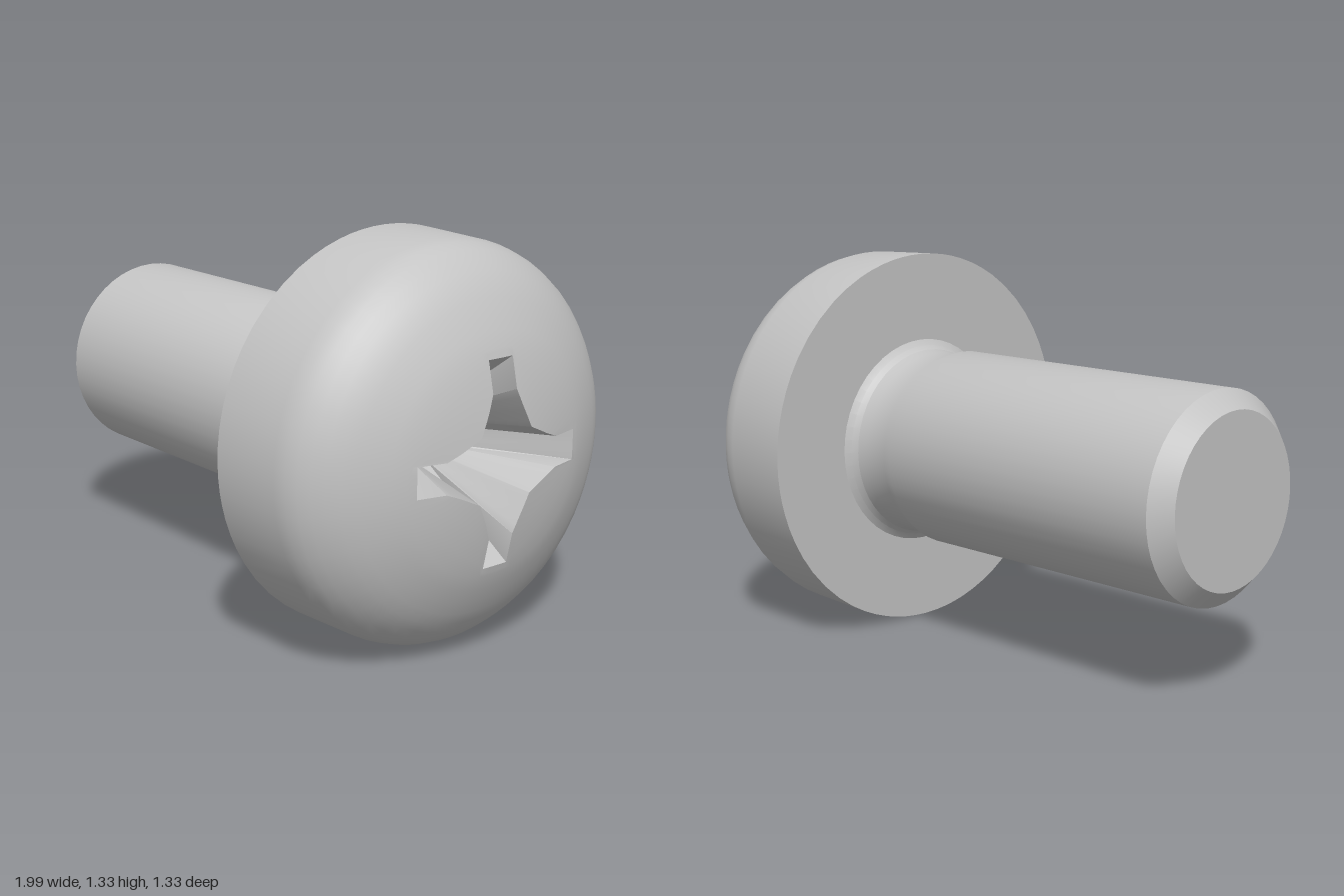
import * as THREE from 'three';
import { toCreasedNormals } from 'three/addons/utils/BufferGeometryUtils.js';

const steel = new THREE.MeshStandardMaterial({ color: 0xc4c4c4 });
steel.name = 'steel';

// Subdivide one eighth of an outline, mirror it to a quarter, then repeat it four times.
// Returns [y, z] points running counter-clockwise as seen from the head end.
function fourWayOutline(eighth) {
  const steps = [2, 1, 2, 4];
  const half = [];
  for (let i = 0; i < steps.length; i++) {
    const [a, b] = [eighth[i], eighth[i + 1]];
    for (let s = 0; s < steps[i]; s++) {
      const t = s / steps[i];
      half.push([a[0] + (b[0] - a[0]) * t, a[1] + (b[1] - a[1]) * t]);
    }
  }
  const mirrored = half.slice(1).reverse().map(([y, z]) => [z, y]);
  const quarter = [...half, eighth[4], ...mirrored];
  const loop = [];
  for (let q = 0; q < 4; q++) {
    const c = Math.round(Math.cos(q * Math.PI / 2)), s = Math.round(Math.sin(q * Math.PI / 2));
    quarter.forEach(([y, z]) => loop.push([y * c - z * s, y * s + z * c]));
  }
  return loop;
}

// Skin a series of equal-length loops of [x, y, z] points
function loft(loops) {
  const n = loops[0].length, index = [];
  for (let i = 0; i < loops.length - 1; i++) {
    for (let j = 0; j < n; j++) {
      const k = (j + 1) % n;
      const a = i * n + j, b = (i + 1) * n + j, c = (i + 1) * n + k, d = i * n + k;
      index.push(a, b, c, a, c, d);
    }
  }
  const geometry = new THREE.BufferGeometry();
  geometry.setAttribute('position', new THREE.Float32BufferAttribute(loops.flat(2), 3));
  geometry.setIndex(index);
  return toCreasedNormals(geometry, 0.55);
}

function headGeometry() {
  const rim = fourWayOutline([[0.33, 0], [0.33, 0.05], [0.23, 0.05], [0.18, 0.07], [0.105, 0.105]]);
  const floor = fourWayOutline([[0.08, 0], [0.078, 0.03], [0.072, 0.035], [0.067, 0.04], [0.053, 0.053]]);
  const angles = rim.map(([y, z]) => Math.atan2(z, y));
  const domeX = (r) => 1 - 0.4 * r * r;
  const ring = (r, x) => angles.map((a) => [x, r * Math.cos(a), r * Math.sin(a)]);
  const floorX = 0.6;

  // Recess: floor centre, floor edge, then the opening in the dome
  const loops = [ring(0, floorX - 0.02), floor.map(([y, z]) => [floorX, y, z])];
  const dome = (t) => rim.map(([y, z], i) => {
    const r0 = Math.hypot(y, z), r = r0 + (0.36 - r0) * t;
    return [domeX(r), r * Math.cos(angles[i]), r * Math.sin(angles[i])];
  });
  for (const t of [0, 0.33, 0.67, 1]) loops.push(dome(t));

  // Outer dome, side and flat underside
  const profile = [
    [0.41, 0.929], [0.456, 0.907], [0.5, 0.885], [0.54, 0.86], [0.575, 0.832], [0.605, 0.8],
    [0.63, 0.768], [0.647, 0.732], [0.657, 0.69], [0.665, 0.424], [0, 0.424],
  ];
  profile.forEach(([r, x]) => loops.push(ring(r, x)));
  return loft(loops);
}

function shankGeometry() {
  // Chamfered tip, straight body, narrower neck and a small fillet under the head
  const profile = [
    [0, -1], [0.285, -1], [0.345, -0.94], [0.343, 0.21], [0.325, 0.26],
    [0.325, 0.35], [0.332, 0.39], [0.345, 0.41], [0.37, 0.427],
  ].map(([r, y]) => new THREE.Vector2(r, y));
  const geometry = new THREE.LatheGeometry(profile, 48);
  geometry.rotateZ(-Math.PI / 2);
  return toCreasedNormals(geometry, 0.4);
}

export function createModel() {
  const model = new THREE.Group();
  model.name = 'screw';

  const head = new THREE.Mesh(headGeometry(), steel);
  head.name = 'panHeadWithCrossRecess';
  head.position.set(0, 0.667, 0);

  const shank = new THREE.Mesh(shankGeometry(), steel);
  shank.name = 'shank';
  shank.position.set(0, 0.66, -0.008);

  model.add(head, shank);
  return model;
}
